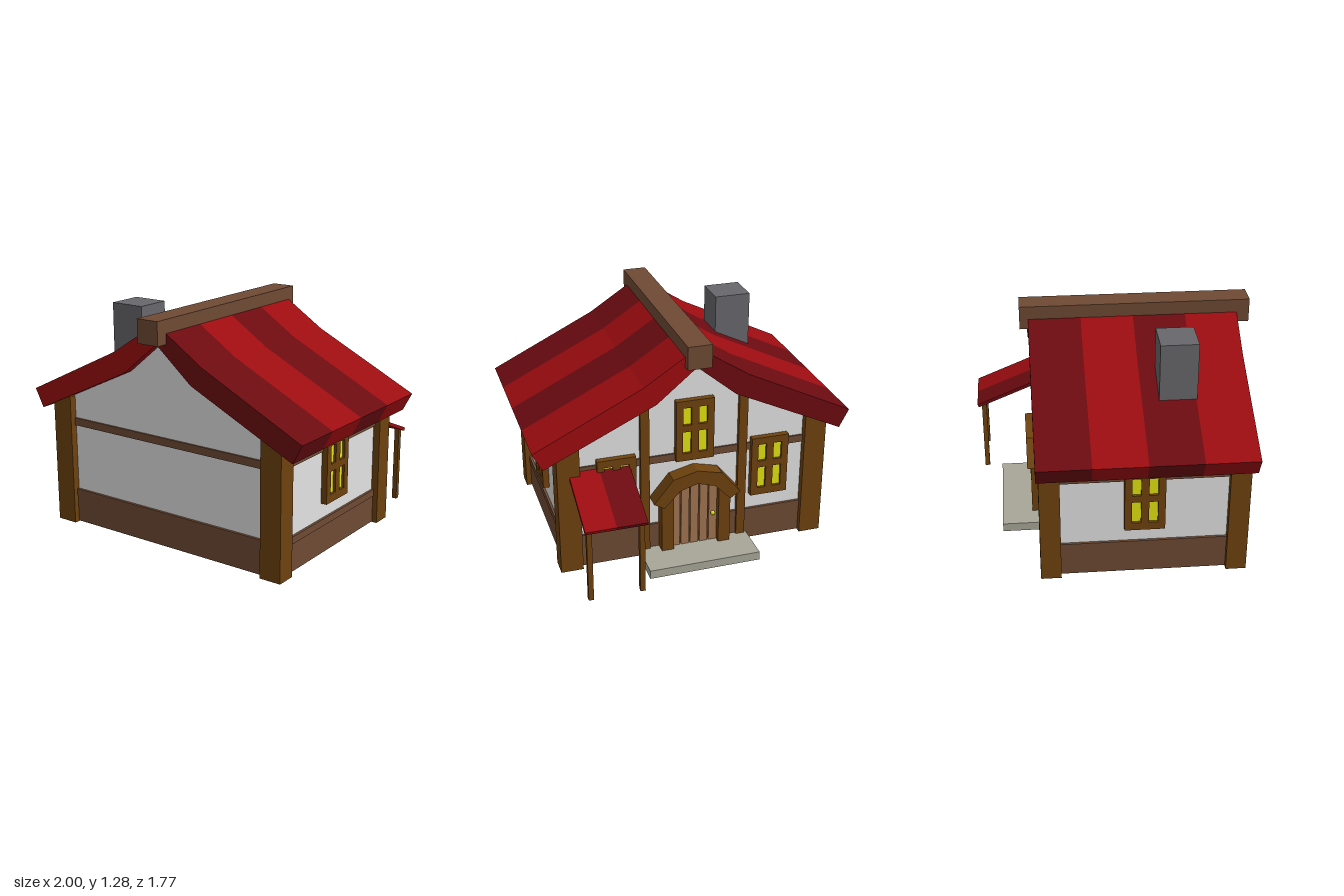
import * as THREE from 'three';

const mat = (name, color) => {
  const m = new THREE.MeshStandardMaterial({ color });
  m.name = name;
  return m;
};

export function createModel() {
  const plaster = mat('plaster', 0xe2e2e2);
  const oak = mat('oak', 0x6e420f);
  const timber = mat('timber', 0x6e4a34);
  const redTile = mat('redTile', 0x9c0c10);
  const darkTile = mat('darkTile', 0x6c0b10);
  const chimneyStone = mat('chimneyStone', 0x68686c);
  const slabStone = mat('slabStone', 0xa8a698);
  const plankWood = mat('plankWood', 0xa0734f);
  const glow = mat('glow', 0xe2e212);

  const model = new THREE.Group();
  model.name = 'cottage';
  // the house stands turned on its plot
  const house = new THREE.Group();
  house.name = 'house';
  house.rotation.y = 0.22;
  house.position.z = 0.13;
  model.add(house);

  const add = (name, geo, material, parent = house) => {
    const m = new THREE.Mesh(geo, material);
    m.name = name;
    parent.add(m);
    return m;
  };
  // box given by its min and max on each axis
  const box = (name, material, [x0, x1], [y0, y1], [z0, z1], parent = house) => {
    const m = add(name, new THREE.BoxGeometry(x1 - x0, y1 - y0, z1 - z0), material, parent);
    m.position.set((x0 + x1) / 2, (y0 + y1) / 2, (z0 + z1) / 2);
    return m;
  };
  const shapeOf = pts => new THREE.Shape(pts.map(p => new THREE.Vector2(p[0], p[1])));
  const extrude = (shape, depth) => new THREE.ExtrudeGeometry(shape, { depth, bevelEnabled: false });

  // walls with gables
  const half = [[0.728, 0.02], [0.728, 0.735], [0.222, 0.97], [0, 1.16]];
  const mirrored = half.slice(0, 3).reverse().map(([x, y]) => [-x, y]);
  add('walls', extrude(shapeOf([...half, ...mirrored]), 1.03), plaster).position.z = -0.515;

  // horizontal timbers running round the walls
  box('baseBoard', timber, [-0.738, 0.738], [0.004, 0.16], [-0.525, 0.525]);
  box('baseRail', timber, [-0.742, 0.742], [0.16, 0.2], [-0.529, 0.529]);
  box('middleRail', timber, [-0.738, 0.738], [0.58, 0.623], [-0.525, 0.525]);

  // corner posts
  for (const sx of [-1, 1]) for (const sz of [-1, 1]) {
    const post = box('cornerPost', oak, [-0.0625, 0.0625], [0, 0.75], [-0.055, 0.055]);
    post.position.x = sx * 0.7055;
    post.position.z = sz * 0.5;
  }

  // roof: four tiled strips per side in alternating reds
  const profile = [[0, 1.25], [0.293, 1.06], [0.896, 0.765], [0.842, 0.662], [0.222, 0.955], [0, 1.14]];
  const strip = 1.138 / 4;
  for (const s of [-1, 1]) {
    const geo = extrude(shapeOf(profile.map(([x, y]) => [s * x, y])), strip);
    for (let i = 0; i < 4; i++) {
      const dark = (i % 2 === 0) === (s < 0);
      add('roofStrip', geo, dark ? darkTile : redTile).position.z = -0.569 + i * strip;
    }
  }
  box('ridgeBeam', timber, [-0.067, 0.067], [1.15, 1.28], [-0.615, 0.637]);
  box('chimney', chimneyStone, [-0.54, -0.333], [0.88, 1.255], [0.09, 0.29]);

  // windows: frame with four openings over glowing panes
  const frameShape = shapeOf([[-0.108, 0], [0.108, 0], [0.108, 0.36], [-0.108, 0.36]]);
  for (const cx of [-0.045, 0.045]) for (const [y0, y1] of [[0.045, 0.175], [0.215, 0.318]]) {
    const a = cx - 0.024, b = cx + 0.024;
    frameShape.holes.push(new THREE.Path(
      [[a, y0], [a, y1], [b, y1], [b, y0]].map(p => new THREE.Vector2(p[0], p[1]))));
  }
  const frameGeo = extrude(frameShape, 0.035);
  const addWindow = (x, y, z, turn) => {
    const g = new THREE.Group();
    g.name = 'window';
    add('windowFrame', frameGeo, oak, g);
    box('windowPanes', glow, [-0.09, 0.09], [0.03, 0.33], [0.013, 0.02], g);
    g.position.set(x, y, z);
    g.rotation.y = turn;
    house.add(g);
  };
  addWindow(0.728, 0.287, 0, Math.PI / 2);
  addWindow(-0.728, 0.287, 0, -Math.PI / 2);
  addWindow(0.44, 0.295, -0.515, Math.PI);
  addWindow(-0.44, 0.295, -0.515, Math.PI);
  addWindow(0, 0.583, -0.515, Math.PI);

  // upright timbers beside the door
  for (const x of [-0.28, 0.28]) box('wallStud', oak, [x - 0.025, x + 0.025], [0.05, 0.95], [-0.54, -0.5]);

  // door: planks, jambs, arch and knob
  box('doorBacking', timber, [-0.14, 0.14], [0.03, 0.44], [-0.54, -0.5]);
  for (let i = 0; i < 5; i++) {
    const x = (i - 2) * 0.054;
    box('doorPlank', plankWood, [x - 0.023, x + 0.023], [0.05, 0.45], [-0.55, -0.53]);
  }
  for (const s of [-1, 1]) {
    const jamb = box('doorJamb', oak, [-0.034, 0.034], [0.04, 0.4], [-0.585, -0.5]);
    jamb.position.x = s * 0.165;
  }
  const arch = [[0.25, 0.37], [0.14, 0.505], [0, 0.54], [-0.14, 0.505], [-0.25, 0.37],
    [-0.19, 0.335], [-0.1, 0.43], [0, 0.46], [0.1, 0.43], [0.19, 0.335]];
  add('doorArch', extrude(shapeOf(arch), 0.1), oak).position.z = -0.605;
  add('doorKnob', new THREE.SphereGeometry(0.013, 10, 8), glow).position.set(-0.105, 0.23, -0.56);
  box('doorStep', slabStone, [-0.318, 0.318], [0, 0.05], [-0.755, -0.52]);

  // lean-to canopy on two thin posts
  const canopy = new THREE.Group();
  canopy.name = 'canopy';
  canopy.position.set(0.532, 0.595, -0.515);
  canopy.rotation.x = -Math.atan2(0.155, 0.37);
  house.add(canopy);
  box('canopyStrip', darkTile, [-0.168, 0], [-0.01, 0.01], [-0.4, 0], canopy);
  box('canopyStrip', redTile, [0, 0.168], [-0.01, 0.01], [-0.4, 0], canopy);
  for (const x of [0.39, 0.674]) box('canopyPost', oak, [x - 0.014, x + 0.014], [0.01, 0.455], [-0.862, -0.834]);

  return model;
}
